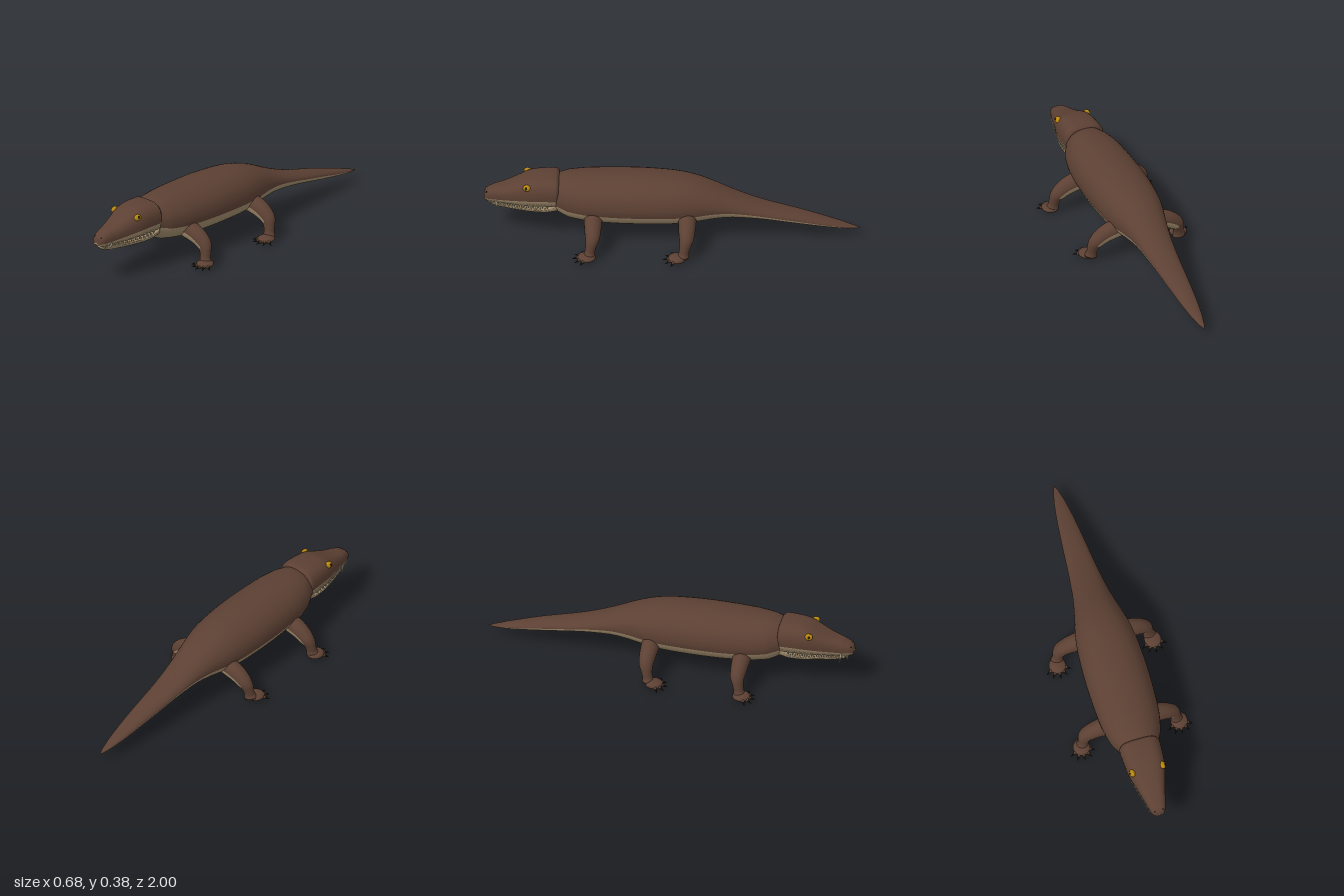
import * as THREE from 'three';

const paint = (name, color) => Object.assign(new THREE.MeshStandardMaterial({ color }), { name });
const V = (x, y, z) => new THREE.Vector3(x, y, z);

// Resample rows [position, a, b, c] along a smooth curve
function smooth(rows, n) {
  const curve = new THREE.CatmullRomCurve3(rows.map(r => V(r[1], r[2], r[3])), false, 'catmullrom', 0.5);
  return Array.from({ length: n + 1 }, (_, k) => {
    const f = (k / n) * (rows.length - 1), i = Math.min(Math.floor(f), rows.length - 2);
    const p = curve.getPoint(k / n);
    return [THREE.MathUtils.lerp(rows[i][0], rows[i + 1][0], f - i), p.x, p.y, p.z];
  });
}

// Skin over closed rings with capped ends; pick(i, j) gives the material slot
function loft(rings, pick) {
  const m = rings[0].length, pos = [], faces = [[], []];
  rings.forEach(r => r.forEach(p => pos.push(p.x, p.y, p.z)));
  for (let i = 0; i < rings.length - 1; i++) for (let j = 0; j < m; j++) {
    const a = i * m + j, b = i * m + (j + 1) % m;
    faces[pick(i, j)].push(a, a + m, b, b, a + m, b + m);
  }
  [0, rings.length - 1].forEach(i => {
    const c = rings[i].reduce((s, p) => s.add(p), V(0, 0, 0)).divideScalar(m), id = pos.length / 3;
    pos.push(c.x, c.y, c.z);
    for (let j = 0; j < m; j++) {
      const a = i * m + j, b = i * m + (j + 1) % m;
      faces[pick(Math.min(i, rings.length - 2), j)].push(...(i ? [id, b, a] : [id, a, b]));
    }
  });
  const g = new THREE.BufferGeometry();
  g.setAttribute('position', new THREE.Float32BufferAttribute(pos, 3));
  g.setIndex([...faces[0], ...faces[1]]);
  g.addGroup(0, faces[0].length, 0);
  g.addGroup(faces[0].length, faces[1].length, 1);
  g.computeVertexNormals();
  return g;
}

export function createModel() {
  const hide = paint('brown hide', 0x5c4033), belly = paint('tan belly', 0x9c8769);
  const mouthMat = paint('dark mouth', 0x4a2e28), bone = paint('tooth bone', 0xc9bb98);
  const amber = paint('amber eye', 0xb8860b), dark = paint('dark claw', 0x1c1a10);
  const model = new THREE.Group();
  model.name = 'reptile';

  const add = (parent, name, geometry, material) => {
    const mesh = new THREE.Mesh(geometry, material);
    mesh.name = name;
    parent.add(mesh);
    return mesh;
  };
  const ball = (parent, name, mat, c, rx, ry, rz) => {
    const b = add(parent, name, new THREE.SphereGeometry(1, 20, 14), mat);
    b.position.copy(c);
    b.scale.set(rx, ry, rz);
    return b;
  };
  const spike = (parent, name, mat, base, tip, r) => {
    const d = tip.clone().sub(base), len = d.length();
    const s = add(parent, name, new THREE.ConeGeometry(r, len, 8), mat);
    s.position.copy(base).addScaledVector(d, 0.5);
    s.quaternion.setFromUnitVectors(V(0, 1, 0), d.normalize());
  };

  // Body and tail: [z, half width, top, bottom]
  const spine = smooth([
    [0.66, 0.08, 0.33, 0.19], [0.61, 0.108, 0.352, 0.158], [0.55, 0.138, 0.366, 0.128],
    [0.45, 0.159, 0.373, 0.111], [0.3, 0.169, 0.376, 0.102], [0.15, 0.17, 0.376, 0.1],
    [0, 0.162, 0.368, 0.102], [-0.1, 0.147, 0.353, 0.109], [-0.2, 0.122, 0.322, 0.126],
    [-0.3, 0.1, 0.277, 0.138], [-0.4, 0.086, 0.234, 0.136], [-0.5, 0.075, 0.2, 0.126],
    [-0.6, 0.066, 0.174, 0.11], [-0.7, 0.056, 0.15, 0.093], [-0.8, 0.045, 0.121, 0.078],
    [-0.9, 0.03, 0.092, 0.064], [-0.97, 0.014, 0.07, 0.056], [-1, 0.002, 0.059, 0.055],
  ], 68);
  const UP = 22, DOWN = 18;
  const bodyRings = spine.map(([z, w, top, bottom]) => {
    const seam = -0.28 * THREE.MathUtils.smoothstep(z, -0.5, -0.1);
    return Array.from({ length: UP + DOWN }, (_, j) => {
      const a = j < UP ? seam + (Math.PI - 2 * seam) * j / UP
        : Math.PI - seam + (Math.PI + 2 * seam) * (j - UP) / DOWN;
      const c = Math.cos(a);
      return V(w * Math.sign(c) * Math.abs(c) ** 0.9, (top + bottom) / 2 + (top - bottom) / 2 * Math.sin(a), z);
    });
  });
  add(model, 'bodyAndTail', loft(bodyRings, (i, j) => (j < UP ? 0 : 1)), [hide, belly]);

  // Head: domed sections on a flat lip line
  const head = new THREE.Group();
  head.name = 'head';
  model.add(head);
  const SEG = 20;
  const dome = ([z, w, top, lip]) => Array.from({ length: SEG + 1 }, (_, j) => {
    const edge = 0.16;
    const a = j === 0 ? 0 : j === SEG ? Math.PI : edge + (Math.PI - 2 * edge) * (j - 1) / (SEG - 2);
    const c = Math.cos(a), s = Math.max(Math.sin(a), 0);
    return V(1.13 * w * Math.sign(c) * Math.abs(c) ** 0.6 * (1 - 0.18 * (1 - s) ** 2), lip + (top - lip) * s ** 0.8, z);
  });
  const skull = smooth([
    [1, 0.018, 0.238, 0.216], [0.994, 0.03, 0.256, 0.212], [0.975, 0.041, 0.271, 0.21],
    [0.94, 0.051, 0.286, 0.21], [0.88, 0.066, 0.304, 0.212], [0.82, 0.083, 0.33, 0.215],
    [0.76, 0.1, 0.357, 0.219], [0.7, 0.107, 0.367, 0.222], [0.615, 0.11, 0.368, 0.224],
    [0.6, 0.1, 0.355, 0.224],
  ], 45);
  // Brown top, tan upper lip and palate
  add(head, 'skullAndUpperLip', loft(skull.map(dome), (i, j) => (j > 0 && j < SEG - 1 ? 0 : 1)), [hide, belly]);

  // Lower jaw: [z, half width, rim, underside]
  const jaw = smooth([
    [0.975, 0.018, 0.203, 0.192], [0.96, 0.034, 0.203, 0.18], [0.92, 0.05, 0.2, 0.173],
    [0.84, 0.07, 0.196, 0.168], [0.74, 0.092, 0.198, 0.164], [0.66, 0.098, 0.203, 0.164],
    [0.61, 0.097, 0.225, 0.168], [0.59, 0.09, 0.225, 0.172],
  ], 28);
  const jawRings = jaw.map(([z, w, rim, under]) => Array.from({ length: SEG + 1 }, (_, j) => {
    const a = Math.PI + Math.PI * j / SEG, c = Math.cos(a);
    return V(w * Math.sign(c) * Math.abs(c) ** 0.6, rim - (rim - under) * Math.max(-Math.sin(a), 0) ** 0.8, z);
  }));
  add(head, 'lowerJaw', loft(jawRings, () => 0), [belly, belly]);

  // Dark mouth lining between the jaws
  const lining = jaw.map(([z, w, rim]) => [-0.9, -0.9, 0.9, 0.9].map((k, j) =>
    V(-k * w, rim + (j === 0 || j === 3 ? 0.024 : -0.006), z)));
  add(head, 'mouthLining', loft(lining, () => 0), [mouthMat, mouthMat]);

  const lipAt = z => {
    const i = Math.max(1, skull.findIndex(r => r[0] <= z)), t = (skull[i - 1][0] - z) / (skull[i - 1][0] - skull[i][0]);
    return [1, 3].map(k => THREE.MathUtils.lerp(skull[i - 1][k], skull[i][k], t));
  };
  for (const s of [1, -1]) {
    // Teeth rows and fangs
    for (let k = 0; k < 13; k++) {
      const z = 0.66 + k * 0.025, [w, lip] = lipAt(z), x = s * w * 0.9;
      spike(head, 'upperTooth', bone, V(x, lip + 0.004, z), V(x * 0.99, lip - 0.018, z), 0.006);
      if (k < 11) spike(head, 'lowerTooth', bone, V(x * 0.95, 0.196, z + 0.012), V(x * 0.95, 0.213, z + 0.012), 0.005);
    }
    spike(head, 'fang', bone, V(s * 0.046, 0.222, 0.935), V(s * 0.041, 0.153, 0.928), 0.008);
    spike(head, 'frontFang', bone, V(s * 0.036, 0.22, 0.972), V(s * 0.032, 0.168, 0.968), 0.006);
    // Eyes and nostrils
    ball(head, 'eye', amber, V(s * 0.084, 0.328, 0.77), 0.016, 0.018, 0.021).rotation.z = s * 0.35;
    ball(head, 'pupil', dark, V(s * 0.096, 0.331, 0.773), 0.005, 0.009, 0.008);
    ball(head, 'nostril', dark, V(s * 0.022, 0.255, 0.984), 0.006, 0.006, 0.006);

    // Legs: [z, x, y, radius] from hip to ankle
    for (const [name, z0, inset, footZ] of [['frontLeg', 0.415, 0, 0.445], ['hindLeg', -0.085, 0.006, -0.035]]) {
      const leg = new THREE.Group();
      leg.name = (s > 0 ? 'left' : 'right') + name[0].toUpperCase() + name.slice(1);
      model.add(leg);
      const path = smooth([
        [z0, 0.08, 0.175, 0.05], [z0, 0.14, 0.165, 0.051], [z0, 0.195, 0.145, 0.047], [z0, 0.238, 0.112, 0.04],
        [z0 + 0.008, 0.253, 0.075, 0.031], [z0 + 0.014, 0.257, 0.045, 0.029], [z0 + 0.02, 0.262, 0.02, 0.036],
      ], 24);
      const rings = path.map(([z, x, y, r], i) => {
        const p = path[Math.max(i - 1, 0)], q = path[Math.min(i + 1, 24)];
        const t = V(q[1] - p[1], q[2] - p[2], 0).normalize();
        return Array.from({ length: 20 }, (_, j) => {
          const a = j * Math.PI / 10, n = r * Math.sin(a);
          return V(s * (x - inset - t.y * n), y + t.x * n, z + s * r * 0.95 * Math.cos(a));
        });
      });
      // Underside of the upper leg is tan
      add(leg, 'limb', loft(rings, (i, j) => (j >= 10 && i < 13 ? 1 : 0)), [hide, belly]);
      const fx = 0.27 - inset;
      ball(leg, 'foot', hide, V(s * fx, 0.02, footZ), 0.046, 0.02, 0.048);
      for (let k = -2; k <= 2; k++) {
        const a = k * 0.56, at = (d, y) => V(s * (fx + d * Math.sin(a)), y, footZ + d * Math.cos(a));
        ball(leg, 'toe', hide, at(0.038, 0.015), 0.01, 0.011, 0.018).rotation.y = s * a;
        spike(leg, 'claw', dark, at(0.044, 0.016), at(0.078, 0.007), 0.009);
      }
    }
  }
  return model;
}
